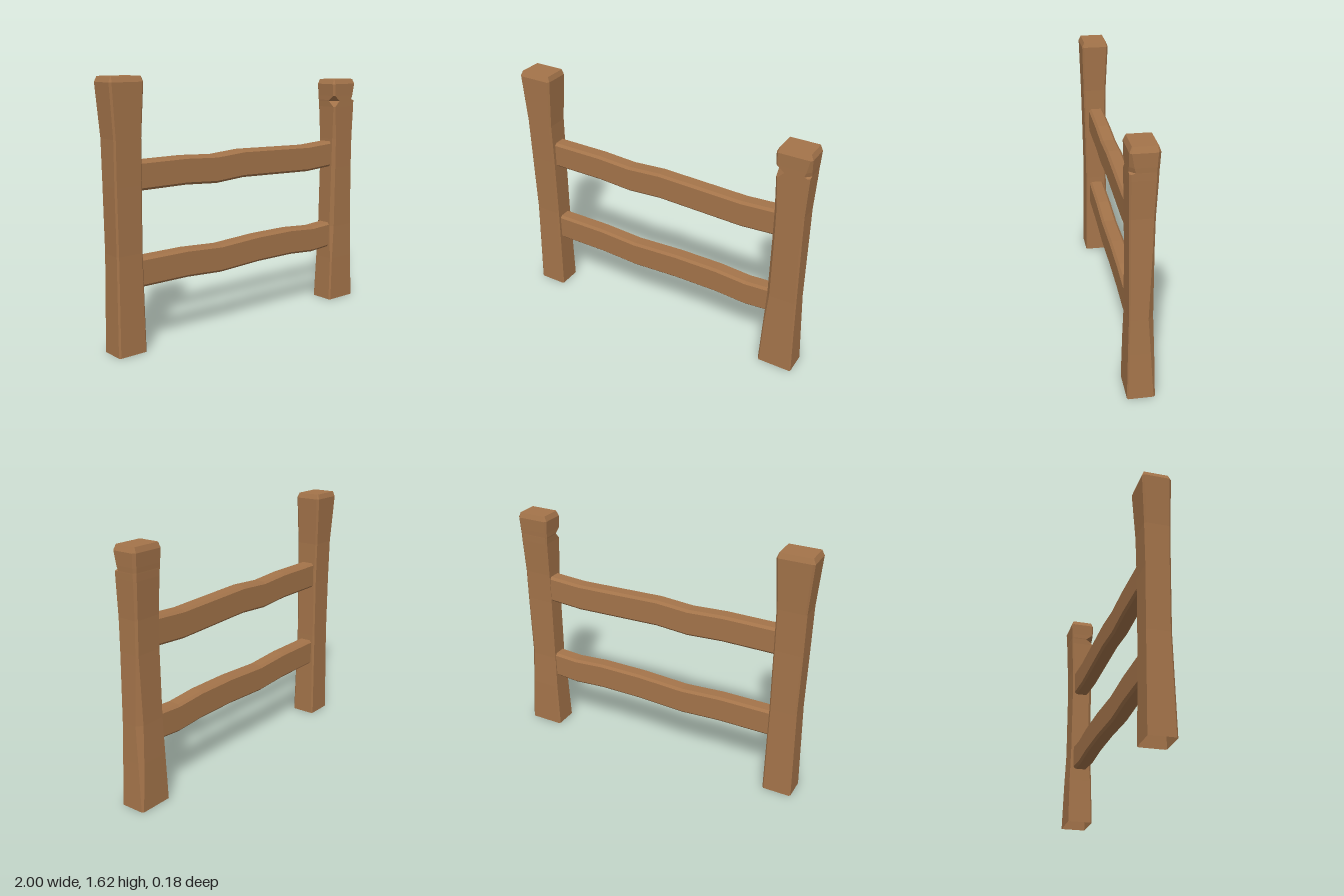
import * as THREE from 'three';

// Chamfered rectangle; one chamfer per corner: (u1,v1) (u0,v1) (u0,v0) (u1,v0)
function ring(u0, u1, v0, v1, [a, b, c, d]) {
  return [
    [u1, v1 - a], [u1 - a, v1], [u0 + b, v1], [u0, v1 - b],
    [u0, v0 + c], [u0 + c, v0], [u1 - d, v0], [u1, v0 + d],
  ];
}

// Skin a list of rings of 3D points, optionally closing the far end
function loft(rings, capEnd) {
  const pos = [];
  const tri = (...pts) => pts.forEach((p) => pos.push(...p));
  for (let k = 0; k < rings.length - 1; k++) {
    const A = rings[k], B = rings[k + 1];
    for (let i = 0; i < A.length; i++) {
      const j = (i + 1) % A.length;
      tri(A[i], A[j], B[j]);
      tri(A[i], B[j], B[i]);
    }
  }
  if (capEnd) {
    const E = rings[rings.length - 1];
    for (let i = 1; i < E.length - 1; i++) tri(E[0], E[i], E[i + 1]);
  }
  const g = new THREE.BufferGeometry();
  g.setAttribute('position', new THREE.Float32BufferAttribute(pos, 3));
  g.computeVertexNormals();
  return g;
}

// Sections: [y, x0, x1, z0, z1, chamfers front +x, back +x, back -x, front -x]
const post = (sections) => loft(sections.map(([y, x0, x1, z0, z1, ...c]) =>
  ring(z0, z1, x0, x1, c).map(([z, x]) => [x, y, z])), true);

// Stations: [x, bottom, top]
const rail = (stations) => loft(stations.map(([x, y0, y1]) =>
  ring(y0, y1, -0.055, 0.045, [0.015, 0.015, 0.015, 0.015]).map(([y, z]) => [x, y, z])), true);

export function createModel() {
  const group = new THREE.Group();
  const wood = new THREE.MeshStandardMaterial({ color: 0xa4744a, flatShading: true, side: THREE.DoubleSide });
  wood.name = 'brown wood';
  const add = (name, geometry) => {
    const m = new THREE.Mesh(geometry, wood);
    m.name = name;
    group.add(m);
  };

  // Tall post, flaring towards its top
  add('tallPost', post([
    [0, -0.98, -0.79, -0.083, 0.08, 0.008, 0.01, 0.01, 0.01],
    [0.6, -0.97, -0.795, -0.075, 0.07, 0.01, 0.01, 0.01, 0.01],
    [1.0, -0.975, -0.793, -0.073, 0.075, 0.01, 0.01, 0.01, 0.01],
    [1.27, -0.977, -0.793, -0.076, 0.08, 0.01, 0.01, 0.01, 0.01],
    [1.585, -1, -0.775, -0.09, 0.087, 0.012, 0.012, 0.012, 0.012],
    [1.617, -0.985, -0.787, -0.078, 0.073, 0.004, 0.004, 0.004, 0.004],
  ]));

  // Short post, with a notch on one front edge and a chip on the other
  add('shortPost', post([
    [0, 0.77, 1, -0.085, 0.08, 0.008, 0.01, 0.01, 0.01],
    [0.3, 0.782, 0.991, -0.079, 0.075, 0.008, 0.024, 0.01, 0.01],
    [0.53, 0.787, 0.985, -0.071, 0.07, 0.008, 0.032, 0.01, 0.022],
    [0.95, 0.79, 0.978, -0.067, 0.072, 0.01, 0.012, 0.01, 0.02],
    [1.15, 0.79, 0.976, -0.07, 0.074, 0.01, 0.012, 0.01, 0.018],
    [1.37, 0.785, 0.984, -0.08, 0.076, 0.01, 0.014, 0.01, 0.01],
    [1.41, 0.782, 0.985, -0.081, 0.076, 0.01, 0.015, 0.01, 0.052],
    [1.416, 0.781, 0.985, -0.081, 0.076, 0.034, 0.015, 0.01, 0.046],
    [1.445, 0.78, 0.987, -0.083, 0.076, 0.025, 0.015, 0.01, 0.01],
    [1.525, 0.775, 0.99, -0.087, 0.077, 0.012, 0.015, 0.012, 0.012],
    [1.557, 0.79, 0.975, -0.075, 0.063, 0.004, 0.004, 0.004, 0.004],
  ]));

  // Wavy rails between the posts
  add('upperRail', rail([
    [-0.83, 0.96, 1.133], [-0.45, 0.96, 1.133], [-0.22, 0.945, 1.12],
    [0, 0.96, 1.135], [0.57, 0.942, 1.118], [0.83, 0.958, 1.133],
  ]));
  add('lowerRail', rail([
    [-0.83, 0.385, 0.562], [-0.45, 0.385, 0.562], [-0.19, 0.37, 0.546],
    [0.13, 0.385, 0.562], [0.42, 0.385, 0.562], [0.63, 0.37, 0.546], [0.83, 0.385, 0.558],
  ]));

  return group;
}
